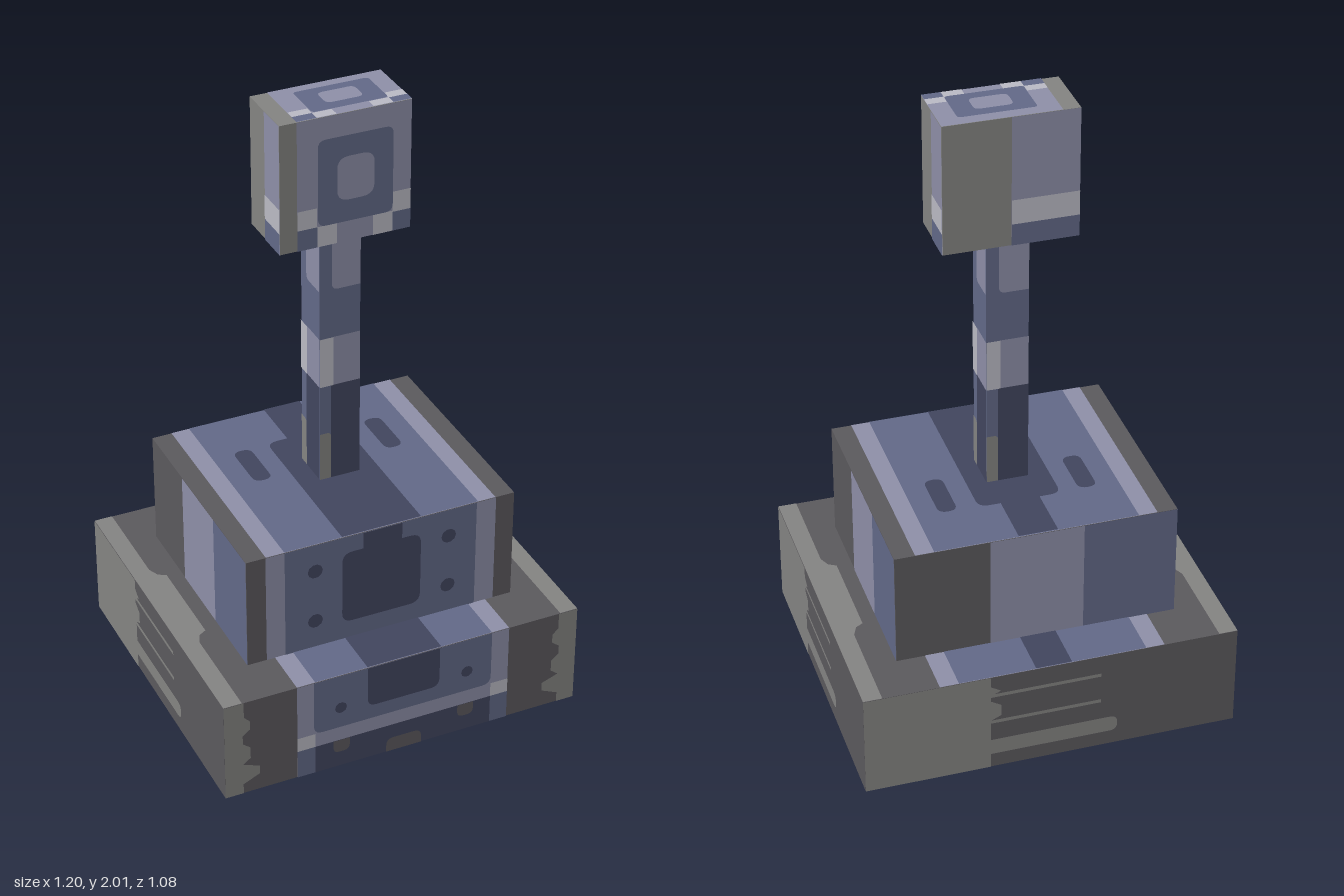
import * as THREE from 'three';

const material = (name, color) => new THREE.MeshStandardMaterial({ name, color });

export function createModel() {
  const navy = material('navy', 0x42465f);
  const blue = material('slate blue', 0x636a89);
  const light = material('light blue grey', 0x8f90a9);
  const pale = material('pale grey', 0xbcbcc6);
  const dark = material('dark grey', 0x5c5a5e);
  const grey = material('mid grey', 0x858583);

  const model = new THREE.Group();
  model.name = 'lever';

  // A block standing between two heights; its faces are painted below.
  function block(name, w, y0, y1, d, mat) {
    const group = new THREE.Group();
    group.name = name;
    const body = new THREE.Mesh(new THREE.BoxGeometry(w, y1 - y0, d), mat);
    body.name = name + 'Body';
    body.position.y = (y0 + y1) / 2;
    group.add(body);
    model.add(group);
    return { group, name, w, y0, y1, d };
  }

  // Face frame: x runs right and y up as seen from outside, z points out.
  function face(b, side) {
    const f = new THREE.Group();
    f.name = b.name + side;
    if (side === 'Front') f.position.z = b.d / 2;
    if (side === 'Back') { f.position.z = -b.d / 2; f.rotation.y = Math.PI; }
    if (side === 'Left') { f.position.x = b.w / 2; f.rotation.y = Math.PI / 2; }
    if (side === 'Right') { f.position.x = -b.w / 2; f.rotation.y = -Math.PI / 2; }
    if (side === 'Top') { f.position.y = b.y1; f.rotation.x = -Math.PI / 2; }
    if (side === 'Bottom') { f.position.y = b.y0; f.rotation.x = Math.PI / 2; }
    b.group.add(f);
    return f;
  }

  function paint(f, name, mat, shape, layer) {
    const m = new THREE.Mesh(new THREE.ShapeGeometry(shape, 5), mat);
    m.name = name;
    m.position.z = layer * 0.0012;
    f.add(m);
  }

  // Painted rectangle; r gives corner radii from bottom left, anticlockwise.
  function rect(f, name, mat, xa, ya, xb, yb, layer = 1, r = 0) {
    const x0 = Math.min(xa, xb), x1 = Math.max(xa, xb);
    const y0 = Math.min(ya, yb), y1 = Math.max(ya, yb);
    const [a, b, c, d] = Array.isArray(r) ? r : [r, r, r, r];
    const s = new THREE.Shape();
    s.moveTo(x0 + a, y0);
    s.lineTo(x1 - b, y0);
    if (b) s.quadraticCurveTo(x1, y0, x1, y0 + b);
    s.lineTo(x1, y1 - c);
    if (c) s.quadraticCurveTo(x1, y1, x1 - c, y1);
    s.lineTo(x0 + d, y1);
    if (d) s.quadraticCurveTo(x0, y1, x0, y1 - d);
    s.lineTo(x0, y0 + a);
    if (a) s.quadraticCurveTo(x0, y0, x0 + a, y0);
    paint(f, name, mat, s, layer);
  }

  const poly = (f, name, mat, pts, layer) =>
    paint(f, name, mat, new THREE.Shape(pts.map(p => new THREE.Vector2(p[0], p[1]))), layer);

  function dot(f, x, y, r) {
    const s = new THREE.Shape();
    s.absarc(x, y, r, 0, Math.PI * 2);
    paint(f, 'rivet', navy, s, 3);
  }

  // Base slab
  const base = block('base', 1.2, 0, 0.345, 1.08, dark);
  const bf = face(base, 'Front');
  rect(bf, 'frontPanel', light, -0.36, 0, 0.36, 0.345);
  rect(bf, 'innerPanel', blue, -0.305, 0.15, 0.3, 0.345, 2, [0.03, 0.03, 0, 0]);
  rect(bf, 'lowerBand', navy, -0.3, 0, 0.3, 0.1, 2);
  rect(bf, 'centreInset', navy, -0.125, 0.2, 0.12, 0.345, 3, [0.03, 0.03, 0, 0]);
  rect(bf, 'footNotch', dark, -0.06, 0, 0.06, 0.05, 3, [0, 0, 0.025, 0.025]);
  const edge = [[0.6, 0], [0.6, 0.345], [0.535, 0.345], [0.535, 0.29], [0.515, 0.27], [0.515, 0.24],
    [0.54, 0.22], [0.54, 0.19], [0.515, 0.17], [0.515, 0.13], [0.54, 0.11], [0.485, 0.09],
    [0.485, 0.06], [0.54, 0.035], [0.54, 0]];
  for (const s of [-1, 1]) {
    poly(bf, 'wornEdge', grey, edge.map(([x, y]) => [s * x, y]), 1);
    rect(bf, 'lowerCorner', blue, s * 0.3, 0, s * 0.36, 0.1, 2);
    rect(bf, 'paleCorner', pale, s * 0.3, 0.1, s * 0.36, 0.15, 2);
    rect(bf, 'footTab', dark, s * 0.185, 0.055, s * 0.24, 0.1, 3, [0.02, 0.02, 0, 0]);
    dot(bf, s * 0.215, 0.225, 0.02);
  }

  const bt = face(base, 'Top');
  rect(bt, 'topTrim', light, -0.36, -0.54, 0.36, 0.54);
  rect(bt, 'topPanel', blue, -0.3, -0.54, 0.3, 0.54, 2);
  rect(bt, 'topStripeBack', navy, -0.06, 0.3, 0.055, 0.54, 3);
  rect(bt, 'topStripeFront', navy, -0.125, -0.54, 0.125, -0.3, 3);
  for (const s of [-1, 1]) poly(bt, 'wornEdge', grey, [[0.6, -0.54], [0.6, 0.54], [0.54, 0.54], [0.54, 0.21],
    [0.525, 0.175], [0.5, 0.16], [0.5, -0.16], [0.525, -0.175], [0.54, -0.21], [0.54, -0.54]]
    .map(([x, y]) => [s * x, y]), 1);

  for (const side of ['Left', 'Right', 'Back']) {
    const f = face(base, side);
    const k = side === 'Back' ? 1.2 / 1.08 : 1;
    poly(f, 'wornSide', grey, [[-0.54, 0], [-0.18, 0], [-0.18, 0.18], [-0.15, 0.195], [-0.15, 0.235],
      [-0.18, 0.255], [-0.18, 0.275], [-0.15, 0.29], [-0.18, 0.31], [-0.18, 0.345], [-0.54, 0.345]]
      .map(([x, y]) => [x * k, y]), 1);
    rect(f, 'sideSlot', grey, -0.2 * k, 0.05, 0.19 * k, 0.105, 1, [0, 0.025, 0.025, 0]);
    for (const y of [0.175, 0.275]) rect(f, 'scratch', grey, -0.2 * k, y - 0.006, 0.14 * k, y + 0.006);
  }

  const bb = face(base, 'Bottom');
  rect(bb, 'underside', grey, -0.6, -0.54, 0.22, 0.54);
  for (const [z, x] of [[-0.38, 0.12], [-0.09, -0.2], [0.33, -0.15]])
    rect(bb, 'undersideSlot', dark, x, z - 0.06, 0.24, z + 0.06, 2, [0.04, 0, 0, 0.04]);

  // Upper housing
  const house = block('housing', 0.9, 0.345, 0.725, 0.75, dark);
  const hf = face(house, 'Front');
  rect(hf, 'frontTrim', light, -0.387, 0.345, 0.387, 0.725);
  rect(hf, 'frontPanel', blue, -0.325, 0.345, 0.32, 0.725, 2);
  rect(hf, 'centreInset', navy, -0.135, 0.41, 0.13, 0.668, 3, 0.035);
  rect(hf, 'insetNeck', navy, -0.065, 0.66, 0.065, 0.725, 4);
  for (const s of [-1, 1]) for (const y of [0.445, 0.63]) dot(hf, s * 0.225, y, 0.025);

  const ht = face(house, 'Top');
  rect(ht, 'topTrim', light, -0.385, -0.375, 0.385, 0.375);
  rect(ht, 'topPanel', blue, -0.325, -0.375, 0.325, 0.375, 2);
  rect(ht, 'topInset', navy, -0.135, -0.375, 0.13, 0.19, 3, [0, 0, 0.035, 0.035]);
  rect(ht, 'insetNeck', navy, -0.065, 0.18, 0.06, 0.375, 4);
  for (const s of [-1, 1]) rect(ht, 'topSlot', navy, s * 0.195, 0.005, s * 0.255, 0.185, 3, 0.028);

  for (const side of ['Left', 'Right', 'Back']) {
    const f = face(house, side);
    const h = (side === 'Back' ? house.w : house.d) / 2;
    rect(f, 'middleStripe', light, -h / 3, 0.345, h / 3, 0.725);
    rect(f, 'endStripe', blue, h / 3, 0.345, h, 0.725);
  }

  // Lever post
  const post = block('post', 0.134, 0.725, 1.58, 0.134, blue);
  for (const side of ['Front', 'Back', 'Left', 'Right']) {
    const f = face(post, side);
    rect(f, 'lowerBand', navy, -0.03, 0.725, 0.067, 1.065);
    rect(f, 'footStrip', grey, -0.067, 0.725, -0.03, 0.895, 1, [0, 0, 0.015, 0]);
    rect(f, 'middleBand', light, -0.025, 1.065, 0.067, 1.235);
    rect(f, 'middleStrip', pale, -0.067, 1.065, -0.022, 1.235, 2);
    rect(f, 'upperBand', light, -0.027, 1.4, 0.067, 1.58, 1, [0.02, 0, 0, 0]);
  }

  // Lever head
  const head = block('head', 0.42, 1.58, 2, 0.21, grey);
  for (const side of ['Front', 'Top']) {
    const f = face(head, side);
    const y0 = side === 'Top' ? -0.105 : 1.58, h = side === 'Top' ? 0.21 : 0.42;
    const patch = (name, mat, u0, v0, u1, v1, layer, r = 0) =>
      rect(f, name, mat, u0 * 0.42 - 0.21, y0 + v0 * h, u1 * 0.42 - 0.21, y0 + v1 * h, layer, r * h);
    patch('plate', light, 0.13, 0, 1, 1, 1);
    patch('paleLeft', pale, 0.13, 0.16, 0.28, 0.31, 2);
    patch('paleLowerLeft', pale, 0.28, 0, 0.43, 0.16, 2);
    patch('cornerLeft', blue, 0.13, 0, 0.28, 0.16, 2);
    patch('paleRight', pale, 0.86, 0.15, 1, 0.31, 2);
    patch('paleLowerRight', pale, 0.71, 0, 0.86, 0.16, 2);
    patch('cornerRight', blue, 0.86, 0, 1, 0.15, 2);
    patch('ring', blue, 0.285, 0.16, 0.86, 0.83, 3, 0.06);
    patch('ringCentre', light, 0.43, 0.33, 0.715, 0.67, 4, 0.09);
  }
  for (const side of ['Left', 'Right', 'Back']) {
    const f = face(head, side);
    const h = (side === 'Back' ? head.w : head.d) / 2;
    rect(f, 'sidePlate', light, 0, 1.58, h, 2);
    rect(f, 'sidePale', pale, 0, 1.65, h, 1.73, 2);
    rect(f, 'sideLower', blue, 0, 1.58, h, 1.65, 2);
  }
  return model;
}
